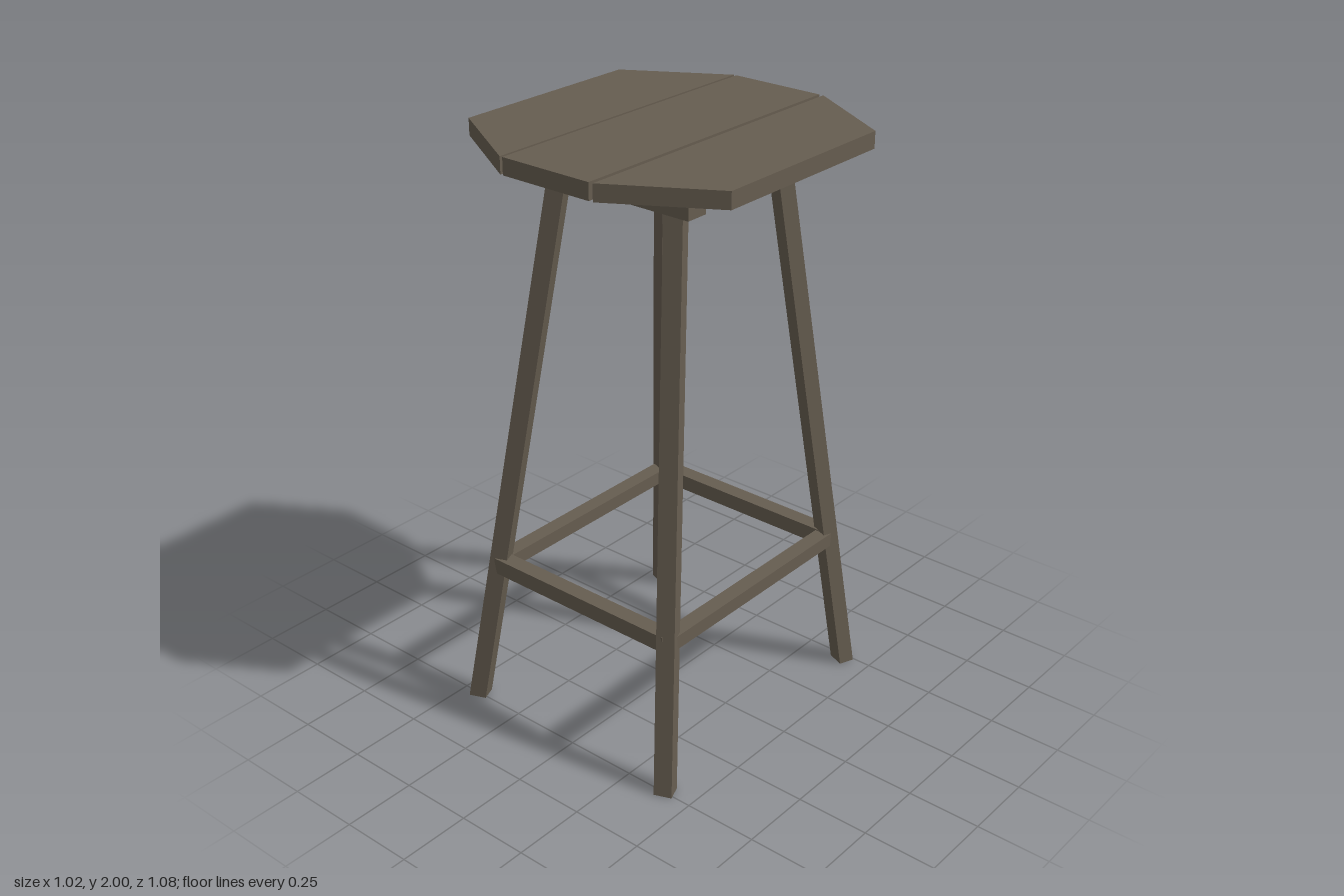
import * as THREE from 'three';

export function createModel() {
  const group = new THREE.Group();
  const wood = new THREE.MeshStandardMaterial({ color: 0x665d50 });
  wood.name = 'weathered wood';

  const add = (name, geometry) => {
    const mesh = new THREE.Mesh(geometry, wood);
    mesh.name = name;
    group.add(mesh);
    return mesh;
  };
  // Box given by its limits on each axis
  const beam = (name, x0, x1, y0, y1, z0, z1) =>
    add(name, new THREE.BoxGeometry(x1 - x0, y1 - y0, z1 - z0))
      .position.set((x0 + x1) / 2, (y0 + y1) / 2, (z0 + z1) / 2);

  // Seat planks: outlines in x, z, extruded upwards
  const plank = (name, outline) => {
    const shape = new THREE.Shape(outline.map(([x, z]) => new THREE.Vector2(x, -z)));
    const geometry = new THREE.ExtrudeGeometry(shape, { depth: 0.055, bevelEnabled: false });
    add(name, geometry.rotateX(-Math.PI / 2).translate(0, 1.945, 0));
  };
  plank('middlePlank', [[-0.17, 0.538], [0.162, 0.538], [0.162, -0.54], [-0.17, -0.54]]);
  plank('leftPlank', [[0.177, 0.538], [0.507, 0.342], [0.507, -0.345], [0.177, -0.54]]);
  plank('rightPlank', [[-0.18, 0.538], [-0.18, -0.54], [-0.508, -0.345], [-0.508, 0.342]]);

  // Legs: a turned square section, sheared between foot and top
  const legTop = 1.94;
  const footX = { 1: 0.398, '-1': -0.437 }, topX = { 1: 0.228, '-1': -0.212 };
  const footZ = { 1: 0.495, '-1': -0.48 }, topZ = { 1: 0.241, '-1': -0.234 };
  const at = (foot, top, side, y) => THREE.MathUtils.lerp(foot[side], top[side], y / legTop);
  for (const sx of [1, -1]) for (const sz of [1, -1]) {
    const geometry = new THREE.BoxGeometry(0.06, legTop, 0.054);
    geometry.rotateY(sz * 0.38).translate(0, legTop / 2, 0);
    const p = geometry.attributes.position;
    for (let i = 0; i < p.count; i++) {
      const y = p.getY(i);
      p.setX(i, p.getX(i) + at(footX, topX, sx, y));
      p.setZ(i, p.getZ(i) + at(footZ, topZ, sz, y));
    }
    geometry.computeVertexNormals();
    add((sz > 0 ? 'front' : 'back') + (sx > 0 ? 'Left' : 'Right') + 'Leg', geometry);
  }

  // Rungs and seat bearers
  const xAt = (s) => at(footX, topX, s, 0.52);
  const zAt = (s) => at(footZ, topZ, s, 0.52);
  for (const s of [1, -1]) {
    const end = s > 0 ? 'front' : 'back', side = s > 0 ? 'left' : 'right';
    beam(end + 'Rung', xAt(-1), xAt(1), 0.49, 0.545, zAt(s) - 0.028, zAt(s) + 0.028);
    beam(side + 'Rung', xAt(s) - 0.027, xAt(s) + 0.027, 0.493, 0.541, zAt(-1), zAt(1));
    beam(end + 'Bearer', -0.38, 0.372, 1.885, 1.945, s * 0.323 - 0.039, s * 0.323 + 0.039);
    beam(side + 'Bearer', s * 0.226 - 0.034, s * 0.226 + 0.034, 1.89, 1.938, -0.29, 0.29);
  }
  return group;
}
